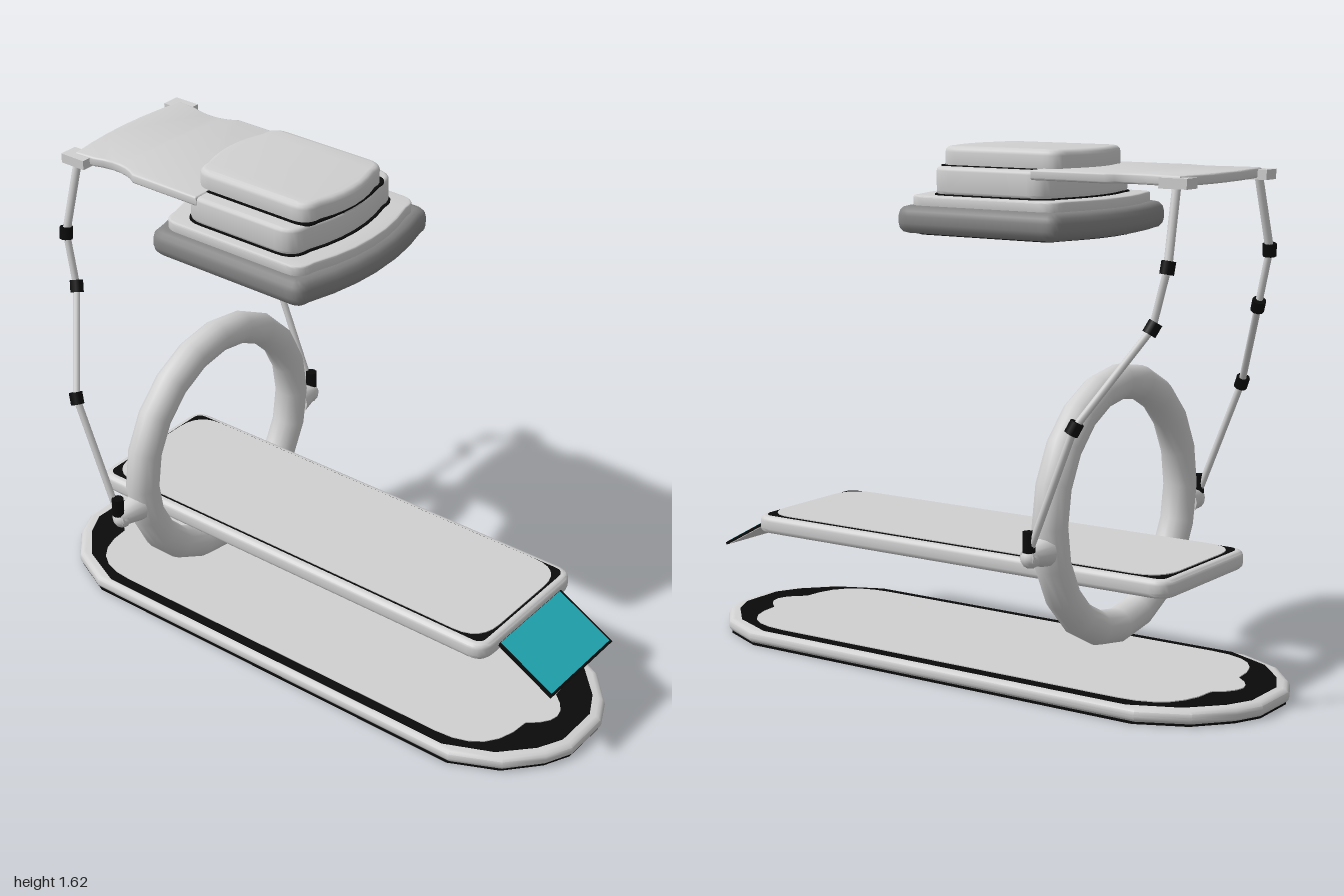
import * as THREE from 'three';
import { toCreasedNormals } from 'three/addons/utils/BufferGeometryUtils.js';

const paint = (name, color) => {
  const m = new THREE.MeshStandardMaterial({ color });
  m.name = name;
  return m;
};

export function createModel() {
  const light = paint('light shell', 0xd0d0d0);
  const dark = paint('dark grey pad', 0x858585);
  const black = paint('black trim', 0x0a0a0a);
  const teal = paint('teal screen', 0x22aebb);
  const model = new THREE.Group();

  const add = (name, geo, mat, x = 0, y = 0, z = 0) => {
    const mesh = new THREE.Mesh(geo, mat);
    mesh.name = name;
    mesh.position.set(x, y, z);
    model.add(mesh);
    return mesh;
  };

  // Horizontal slab from a plan outline, between heights y0 and y1, with rounded edges
  const slab = (name, shape, y0, y1, bevel, mat, x = 0) => {
    const geo = new THREE.ExtrudeGeometry(shape, {
      depth: y1 - y0 - 2 * bevel, curveSegments: 6, bevelEnabled: bevel > 0,
      bevelSize: bevel, bevelThickness: bevel, bevelOffset: -bevel, bevelSegments: 3,
    });
    geo.rotateX(-Math.PI / 2);
    return add(name, toCreasedNormals(geo, 0.6), mat, x, y0 + bevel, 0);
  };

  // Long faceted outline with tapered ends
  const baseOutline = (hx, hz) => {
    const q = [[hx - 0.28, hz], [hx - 0.13, hz * 0.79], [hx - 0.04, hz * 0.49], [hx, hz * 0.24]];
    const half = [...q, ...q.map(([x, z]) => [x, -z]).reverse()];
    const all = [...half, ...half.map(([x, z]) => [-x, -z])];
    return new THREE.Shape(all.map(([x, z]) => new THREE.Vector2(x, z)));
  };

  // Rectangle with rounded corners and optionally bowed ends
  const rounded = (hx, hz, r, bow = 0) => {
    const s = new THREE.Shape();
    const e = hx - bow;
    s.moveTo(-e + r, -hz);
    s.lineTo(e - r, -hz);
    s.quadraticCurveTo(e, -hz, e, -hz + r);
    s.quadraticCurveTo(e + 2 * bow, 0, e, hz - r);
    s.quadraticCurveTo(e, hz, e - r, hz);
    s.lineTo(-e + r, hz);
    s.quadraticCurveTo(-e, hz, -e, hz - r);
    s.quadraticCurveTo(-e - 2 * bow, 0, -e, -hz + r);
    s.quadraticCurveTo(-e, -hz, -e + r, -hz);
    return s;
  };

  // Floor base
  slab('baseUnderside', baseOutline(0.99, 0.335), 0, 0.006, 0, black);
  slab('baseBody', baseOutline(1, 0.34), 0.004, 0.048, 0.02, light);
  slab('baseTrim', baseOutline(0.96, 0.318), 0.045, 0.051, 0, black);
  slab('baseTop', rounded(0.89, 0.285, 0.2, 0.06), 0.048, 0.054, 0, light);

  // Bed
  slab('bed', rounded(0.77, 0.25, 0.06), 0.35, 0.406, 0.016, light);
  slab('bedGroove', rounded(0.745, 0.226, 0.03), 0.402, 0.409, 0, black);
  slab('bedTop', rounded(0.74, 0.222, 0.1), 0.405, 0.412, 0, light);

  // Tilted screen at the foot of the bed
  const screen = new THREE.Group();
  screen.name = 'screen';
  const dx = 0.2, dy = -0.11, len = Math.hypot(dx, dy);
  [['screenFrame', len, 0.34, 0.008, 0, black], ['screenFace', len - 0.016, 0.322, 0.003, 0.0045, teal],
    ['screenBack', len - 0.016, 0.322, 0.003, -0.0045, light]].forEach(([name, w, d, h, y, mat]) => {
    const p = add(name, new THREE.BoxGeometry(w, h, d), mat, 0, y, 0);
    screen.add(p);
  });
  screen.position.set(0.862, 0.325, -0.003);
  screen.rotation.z = Math.atan2(dy, dx);
  model.add(screen);

  // Scanner ring around the bed
  const ring = new THREE.TorusGeometry(0.375, 0.053, 14, 20);
  ring.rotateY(Math.PI / 2);
  add('scannerRing', ring, light, -0.455, 0.55, 0);

  // Straight round bar between two points
  const bar = (name, a, b, r, mat) => {
    const dir = b.clone().sub(a);
    const mesh = add(name, new THREE.CylinderGeometry(r, r, dir.length(), 10), mat);
    mesh.position.copy(a).add(b).multiplyScalar(0.5);
    mesh.quaternion.setFromUnitVectors(new THREE.Vector3(0, 1, 0), dir.normalize());
  };

  // Jointed arms, mirrored on both sides
  for (const s of [1, -1]) {
    const pts = [[-0.455, 0.49, 0.488], [-0.607, 0.872, 0.488], [-0.75, 1.142, 0.313],
      [-0.79, 1.312, 0.302], [-0.78, 1.54, 0.24]].map(([x, y, z]) => new THREE.Vector3(x, y, z * s));
    const knob = new THREE.CylinderGeometry(0.024, 0.045, 0.09, 12);
    knob.rotateX(s * Math.PI / 2);
    add('ringKnob', knob, light, -0.455, 0.485, s * 0.45);
    add('knobCap', new THREE.SphereGeometry(0.03, 12, 8), light, -0.455, 0.48, s * 0.475);
    for (let i = 0; i < 4; i++) {
      bar('armSegment', pts[i], pts[i + 1], i === 3 ? 0.013 : 0.011, light);
      if (i === 0) continue;
      const d = pts[i + 1].clone().sub(pts[i - 1]).normalize().multiplyScalar(0.019);
      bar('armJoint', pts[i].clone().sub(d), pts[i].clone().add(d), 0.021, black);
    }
    bar('armSocket', new THREE.Vector3(-0.458, 0.5, s * 0.488),
      new THREE.Vector3(-0.458, 0.56, s * 0.488), 0.019, black);
    add('armHinge', new THREE.BoxGeometry(0.09, 0.03, 0.06), light, -0.78, 1.54, s * 0.235);
  }

  // Overhead carrier plate with side notches
  const plate = new THREE.Shape();
  plate.moveTo(-0.3, -0.248);
  plate.lineTo(-0.3, 0.248);
  plate.lineTo(-0.55, 0.248);
  plate.quadraticCurveTo(-0.62, 0.2, -0.72, 0.235);
  plate.lineTo(-0.79, 0.24);
  plate.quadraticCurveTo(-0.835, 0, -0.79, -0.24);
  plate.lineTo(-0.72, -0.235);
  plate.quadraticCurveTo(-0.62, -0.2, -0.55, -0.248);
  slab('carrierPlate', plate, 1.53, 1.56, 0.006, light);

  // Overhead head, stacked from the pad up
  const hx = -0.145;
  slab('headPad', rounded(0.335, 0.318, 0.05, 0.045), 1.36, 1.442, 0.03, dark, hx);
  slab('padTrim', rounded(0.29, 0.275, 0.05, 0.045), 1.356, 1.362, 0, black, hx);
  slab('padPanel', rounded(0.265, 0.235, 0.06, 0.045), 1.352, 1.358, 0, light, hx);
  slab('headLip', rounded(0.305, 0.282, 0.06, 0.04), 1.435, 1.472, 0.006, light, hx);
  slab('headSeam', rounded(0.245, 0.249, 0.07, 0.03), 1.468, 1.476, 0, black, hx);
  slab('headBody', rounded(0.24, 0.246, 0.07, 0.03), 1.472, 1.556, 0.012, light, hx);
  slab('capSeam', rounded(0.24, 0.197, 0.05, 0.02), 1.553, 1.559, 0, black, hx);
  slab('headCap', rounded(0.24, 0.188, 0.06, 0.025), 1.53, 1.615, 0.018, light, hx);

  return model;
}
